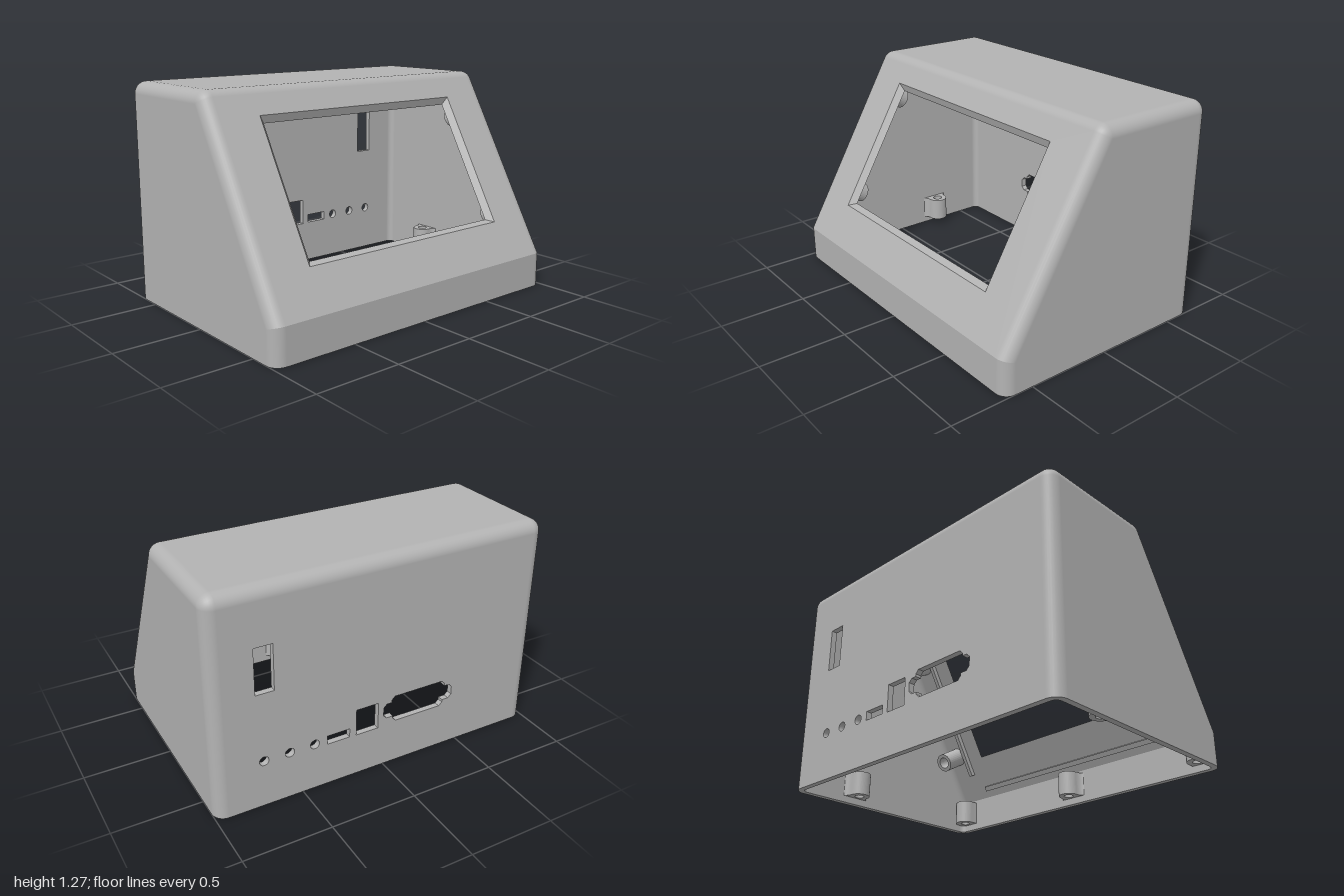
import * as THREE from 'three';

const X = 1, D = 0.682, H = 1.27, CREASE = 0.205;   // half width, half depth, height, slope start
const R = 0.07, T = 0.035;                          // edge radius, wall thickness
const TILT = Math.PI / 6, MITER = Math.tan(TILT / 2);
const CORE_Y = CREASE - R * MITER, TOP_Y = H - R;
const CORE_Z = D - R - (TOP_Y - CORE_Y) * Math.tan(TILT);

const grey = new THREE.MeshStandardMaterial({ color: 0xb3b3b3, side: THREE.DoubleSide });
grey.name = 'grey plastic';

function add(parent, name, geometry, x = 0, y = 0, z = 0) {
  const mesh = new THREE.Mesh(geometry, grey);
  mesh.name = name;
  mesh.position.set(x, y, z);
  parent.add(mesh);
  return mesh;
}

function polygon(points, Type = THREE.Shape) {
  return new Type(points.map(([x, y]) => new THREE.Vector2(x, y)));
}

function rect(x0, y0, x1, y1, Type = THREE.Shape) {
  return polygon([[x0, y0], [x1, y0], [x1, y1], [x0, y1]], Type);
}

function circle(x, y, r) {
  return new THREE.Path().absarc(x, y, r, 0, Math.PI * 2, true);
}

function roundRect(w, d, r, Type = THREE.Shape) {
  const s = new Type();
  s.absarc(w - r, d - r, r, 0, Math.PI / 2);
  s.absarc(-w + r, d - r, r, Math.PI / 2, Math.PI);
  s.absarc(-w + r, -d + r, r, Math.PI, Math.PI * 1.5);
  s.absarc(w - r, -d + r, r, Math.PI * 1.5, Math.PI * 2);
  s.closePath();
  return s;
}

// Side profile: core point, offset direction and normal, all as [z, y]
function sideProfile() {
  const n = [Math.cos(TILT), Math.sin(TILT)], m = [1, MITER];
  const list = [
    { c: [D - R, 0], d: [1, 0], n: [1, 0] },
    { c: [D - R, CORE_Y], d: m, n: [1, 0] },
    { c: [D - R, CORE_Y], d: m, n },
  ];
  const arc = (z, a0, a1) => {
    for (let i = 0; i <= 8; i++) {
      const a = a0 + (a1 - a0) * i / 8, v = [Math.cos(a), Math.sin(a)];
      list.push({ c: [z, TOP_Y], d: v, n: v });
    }
  };
  arc(CORE_Z, TILT, Math.PI / 2);
  arc(-D + R, Math.PI / 2, Math.PI);
  list.push({ c: [-D + R, 0], d: [-1, 0], n: [-1, 0] });
  return list;
}

// Rounded skin at radius rho around the core, left open where the slope and back plates go
function skin(rho) {
  const profile = sideProfile(), rings = [], pos = [], nor = [], idx = [];
  for (let i = 0; i <= 8; i++) rings.push([-1, (i / 8 - 1) * Math.PI / 2]);
  for (let i = 0; i <= 8; i++) rings.push([1, i / 8 * Math.PI / 2]);
  for (const [side, t] of rings) {
    const k = rho * Math.cos(t);
    for (const { c, d, n } of profile) {
      pos.push(side * (X - R) + rho * Math.sin(t), c[1] + k * d[1], c[0] + k * d[0]);
      nor.push(Math.sin(t), Math.cos(t) * n[1], Math.cos(t) * n[0]);
    }
  }
  const N = profile.length;
  for (let i = 0; i < rings.length - 1; i++) {
    for (let j = 0; j < N - 1; j++) {
      if (j === 1 || (i === 8 && (j === 2 || j === N - 2))) continue;
      const a = i * N + j, b = a + N;
      idx.push(a, b, b + 1, a, b + 1, a + 1);
    }
  }
  const g = new THREE.BufferGeometry();
  g.setAttribute('position', new THREE.Float32BufferAttribute(pos, 3));
  g.setAttribute('normal', new THREE.Float32BufferAttribute(nor, 3));
  g.setIndex(idx);
  return g;
}

// Four bevelled faces between two rectangles [x0, y0, x1, y1]
function bevel(outer, inner, depth) {
  const loop = ([x0, y0, x1, y1], z) => [[x0, y0, z], [x1, y0, z], [x1, y1, z], [x0, y1, z]];
  const o = loop(outer, 0), n = loop(inner, -depth), pos = [];
  for (let i = 0; i < 4; i++) {
    const j = (i + 1) % 4;
    pos.push(...o[i], ...o[j], ...n[j], ...o[i], ...n[j], ...n[i]);
  }
  const g = new THREE.BufferGeometry();
  g.setAttribute('position', new THREE.Float32BufferAttribute(pos, 3));
  g.computeVertexNormals();
  return g;
}

// Screw lobe growing from a wall along +z, flaring at the wall
function lobe(flare) {
  const r = 0.06, c = 0.045, s = new THREE.Shape();
  s.moveTo(-flare, -0.01);
  s.quadraticCurveTo(-r, 0, -r, c);
  s.absarc(0, c, r, Math.PI, 0, true);
  s.quadraticCurveTo(r, 0, flare, -0.01);
  s.closePath();
  s.holes.push(circle(0, c, 0.028));
  return new THREE.ExtrudeGeometry(s, { depth: 0.14, bevelEnabled: false, curveSegments: 12 }).rotateX(Math.PI / 2);
}

function tube(outer, inner, depth) {
  const s = new THREE.Shape().absarc(0, 0, outer, 0, Math.PI * 2);
  s.holes.push(circle(0, 0, inner));
  return new THREE.ExtrudeGeometry(s, { depth, bevelEnabled: false, curveSegments: 16 });
}

export function createModel() {
  const model = new THREE.Group();
  model.name = 'sloped enclosure';

  // Outer and inner skins with flat side walls
  const core = polygon([[D - R, 0], [D - R, CORE_Y], [CORE_Z, TOP_Y], [-D + R, TOP_Y], [-D + R, 0]]);
  for (const [name, rho] of [['outer', R], ['inner', R - T]]) {
    add(model, name + ' skin', skin(rho));
    for (const s of [-1, 1])
      add(model, name + ' side wall', new THREE.ShapeGeometry(core), s * (X - R + rho)).rotation.y = -Math.PI / 2;
  }

  // Open bottom rim
  const rim = roundRect(X, D, R);
  rim.holes.push(roundRect(X - T, D - T, R - T, THREE.Path));
  add(model, 'bottom rim', new THREE.ShapeGeometry(rim).rotateX(Math.PI / 2));

  // Back wall with connector cutouts
  const back = rect(-X + R, 0, X - R, TOP_Y);
  for (const x of [0.721, 0.574, 0.427]) back.holes.push(circle(x, 0.283, 0.027));
  back.holes.push(rect(0.652, 0.69, 0.757, 0.955, THREE.Path));
  back.holes.push(rect(0.216, 0.258, 0.353, 0.31, THREE.Path));
  back.holes.push(rect(0.038, 0.255, 0.175, 0.415, THREE.Path));
  const half = [[0.145, -0.08], [0.165, -0.06], [0.165, -0.045], [0.205, -0.045], [0.225, -0.025],
    [0.225, 0.025], [0.205, 0.045], [0.175, 0.045], [0.175, 0.06], [0.155, 0.08]];
  const port = [...half, ...half.map(([x, y]) => [-x, y]).reverse()];
  back.holes.push(polygon(port.map(([x, y]) => [x - 0.222, y + 0.347]), THREE.Path));
  add(model, 'back wall', new THREE.ExtrudeGeometry(back, { depth: T, bevelEnabled: false }), 0, 0, -D);

  // Sloped front with bevelled window
  const slope = new THREE.Group();
  slope.name = 'sloped front';
  slope.position.set(0, CREASE, D);
  slope.rotation.x = -TILT;
  model.add(slope);
  const along = y => (y - CREASE) / Math.cos(TILT);
  const top = (TOP_Y - CORE_Y) / Math.cos(TILT) + MITER * R;
  const outer = [-0.692, along(0.42), 0.692, along(1.13)];
  const inner = outer.map((v, i) => v + (i < 2 ? 0.032 : -0.032));
  for (const [name, win, depth] of [['outer', outer, 0], ['inner', inner, T]]) {
    const plate = rect(-X + R, MITER * depth, X - R, top);
    plate.holes.push(rect(...win, THREE.Path));
    add(slope, name + ' front plate', new THREE.ShapeGeometry(plate), 0, 0, -depth);
  }
  add(slope, 'window bevel', bevel(outer, inner, T));

  // Display ribs and standoffs behind the slope
  add(slope, 'lower rib', new THREE.BoxGeometry(1.4, 0.03, 0.03), 0, 0.07, -T - 0.014);
  for (const s of [-1, 1]) {
    add(slope, 'side rib', new THREE.BoxGeometry(0.025, 0.85, 0.03), s * 0.785, along(0.73), -T - 0.014);
    for (const y of [0.49, 1.06])
      add(slope, 'display standoff', tube(0.058, 0.035, 0.15), s * 0.86, along(y), -T - 0.149);
  }

  // Screw lobes around the base
  const lobes = [[0, D - T, Math.PI, 0.11], [0.9, D - T, Math.PI, 0.062], [-0.9, D - T, Math.PI, 0.062],
    [X - T, -0.27, -Math.PI / 2, 0.11], [-X + T, -0.27, Math.PI / 2, 0.11]];
  for (const [x, z, turn, flare] of lobes)
    add(model, 'screw lobe', lobe(flare), x, 0.18, z).rotation.y = turn;

  return model;
}
